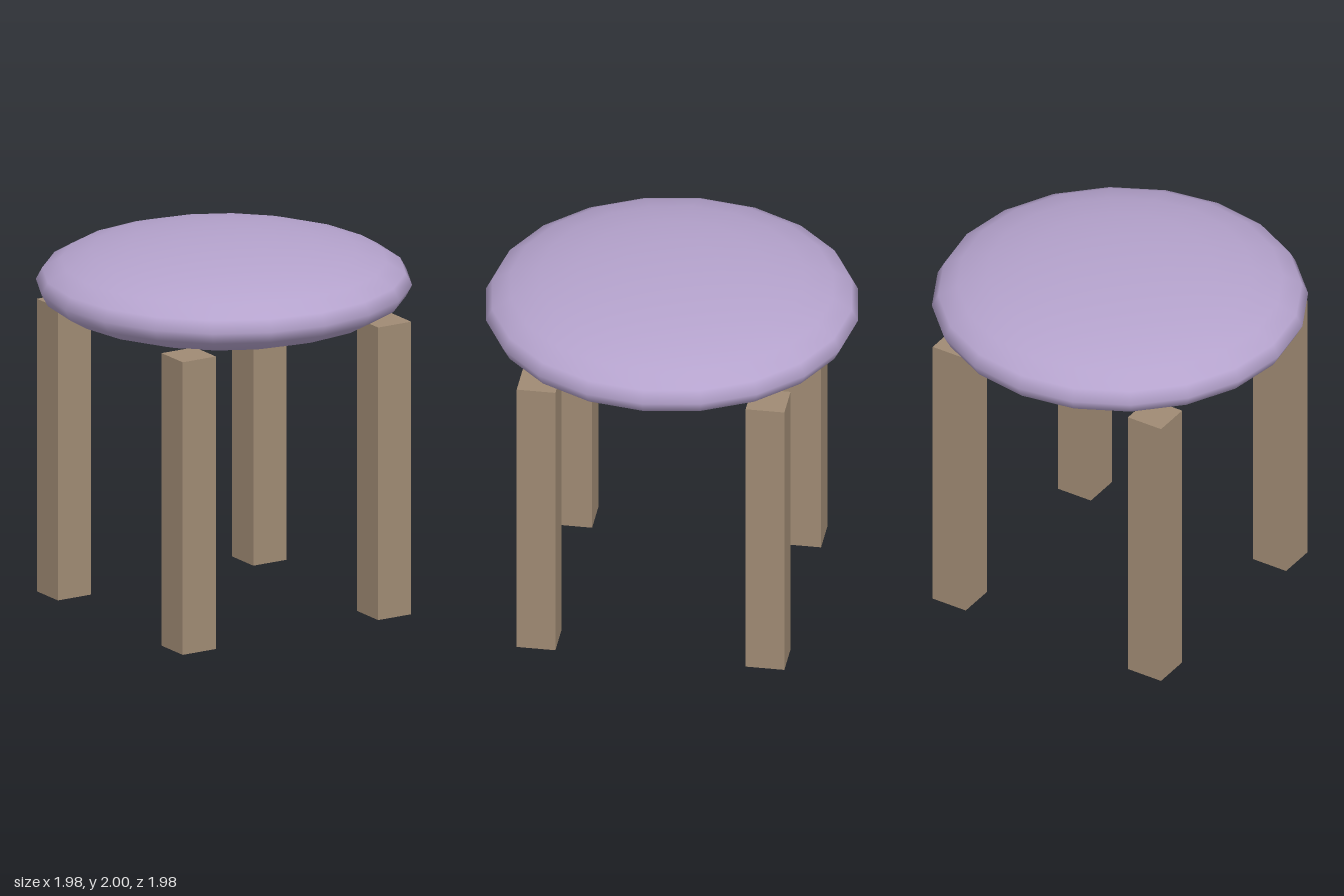
import * as THREE from 'three';

export function createModel() {
  const fabric = new THREE.MeshStandardMaterial({ color: 0xb5a3cd });
  fabric.name = 'lilac fabric';
  const wood = new THREE.MeshStandardMaterial({ color: 0xa08b74 });
  wood.name = 'brown wood';

  const stool = new THREE.Group();
  stool.name = 'stool';

  // Cushioned seat: a flattened sphere
  const seatGeometry = new THREE.SphereGeometry(1, 20, 12);
  seatGeometry.scale(0.99, 0.245, 0.99);
  const seat = new THREE.Mesh(seatGeometry, fabric);
  seat.name = 'seat';
  seat.position.y = 1.755;
  stool.add(seat);

  // Four square legs
  const legHeight = 1.6;
  const legOffset = 0.609;
  const legGeometry = new THREE.BoxGeometry(0.206, legHeight, 0.206);
  for (const [z, end] of [[1, 'front'], [-1, 'back']]) {
    for (const [x, side] of [[1, 'Left'], [-1, 'Right']]) {
      const leg = new THREE.Mesh(legGeometry, wood);
      leg.name = `${end}${side}Leg`;
      leg.position.set(x * legOffset, legHeight / 2, z * legOffset);
      stool.add(leg);
    }
  }
  return stool;
}
